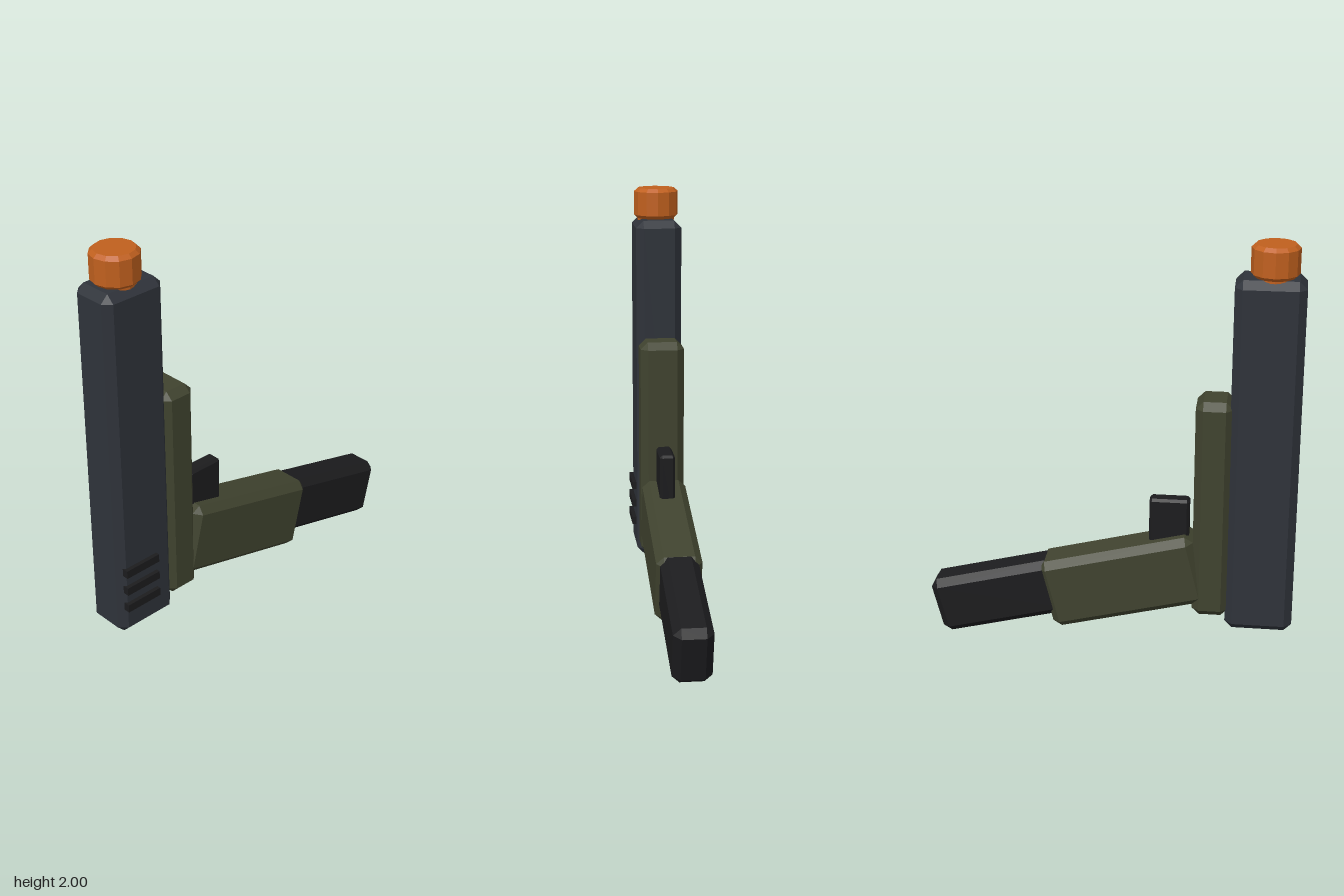
import * as THREE from 'three';
import { ConvexGeometry } from 'three/addons/geometries/ConvexGeometry.js';

const material = (color) => new THREE.MeshStandardMaterial({ color, flatShading: true });

// Box with every edge and corner cut by c: the hull of the six inset faces.
function chamferBox(w, h, d, c) {
  const half = [w / 2, h / 2, d / 2];
  const points = [];
  for (let axis = 0; axis < 3; axis++)
    for (const sx of [-1, 1]) for (const sy of [-1, 1]) for (const sz of [-1, 1]) {
      const p = [sx, sy, sz].map((s, i) => s * (half[i] - (i === axis ? 0 : c)));
      points.push(new THREE.Vector3(...p));
    }
  return new ConvexGeometry(points);
}

export function createModel() {
  const group = new THREE.Group();
  const steel = material(0x2f333a);
  const olive = material(0x40432f);
  const black = material(0x1c1c1e);
  const orange = material(0xc0601e);
  const midX = -0.0125;

  const add = (name, geometry, mat, x, y, z, parent = group) => {
    const mesh = new THREE.Mesh(geometry, mat);
    mesh.name = name;
    mesh.position.set(x, y, z);
    parent.add(mesh);
    return mesh;
  };

  // Upright body
  add('slide', chamferBox(0.225, 1.73, 0.32, 0.036), steel, midX, 0.985, 0.72);
  add('frame', chamferBox(0.215, 1.09, 0.175, 0.035), olive, midX, 0.725, 0.4875);

  // Faceted tip with bevelled rims
  const tipProfile = [[0, 1.84], [0.092, 1.84], [0.092, 1.85], [0.11, 1.867], [0.11, 1.983], [0.092, 2], [0, 2]]
    .map(([r, y]) => new THREE.Vector2(r, y));
  add('tip', new THREE.LatheGeometry(tipProfile, 12), orange, midX, 0, 0.735);

  // Ridges on the left side of the slide
  for (let i = 0; i < 3; i++)
    add('ridge', new THREE.BoxGeometry(0.04, 0.04, 0.19), black, 0.1, 0.28 + i * 0.095, 0.76);

  // Trigger
  add('trigger', chamferBox(0.075, 0.3, 0.19, 0.012), black, midX, 0.605, 0.283);

  // Handle, tilted down towards the back: local z runs along its length
  const handle = new THREE.Group();
  handle.name = 'handle';
  handle.rotation.x = -THREE.MathUtils.degToRad(14);
  group.add(handle);
  add('grip', chamferBox(0.215, 0.35, 0.764, 0.035), olive, midX, 0.303, 0.142, handle);
  add('magazine', chamferBox(0.18, 0.285, 0.66, 0.035), black, midX, 0.335, -0.464, handle);

  return group;
}
